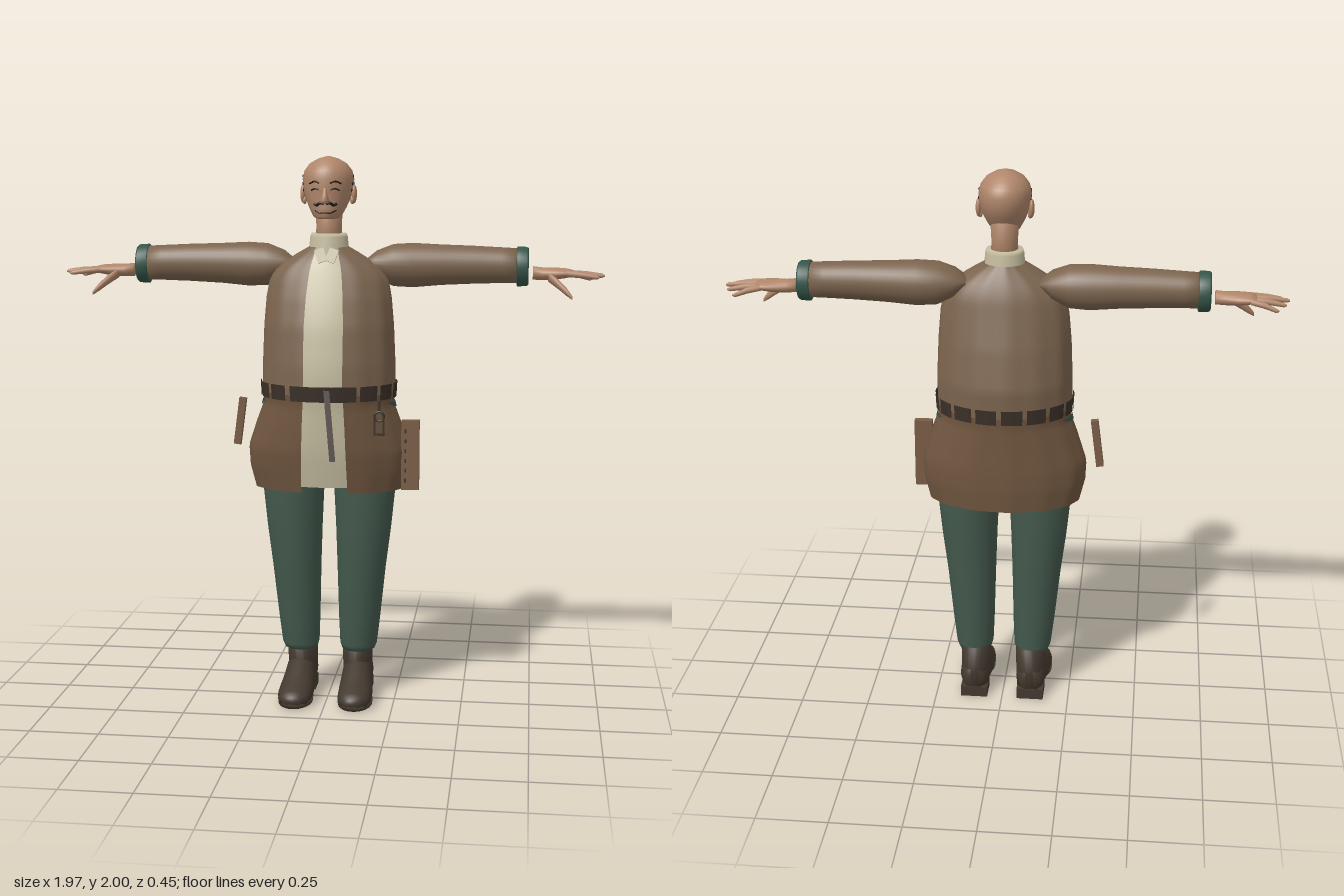
import * as THREE from 'three';

const mat = (name, color, side = THREE.FrontSide) => {
  const m = new THREE.MeshStandardMaterial({ color, side });
  m.name = name;
  return m;
};

// Surface through rows of points; wrap joins the last column to the first
function grid(rows, cols, fn, wrap = false) {
  const pos = [], idx = [];
  for (let i = 0; i < rows; i++) for (let j = 0; j < cols; j++) pos.push(...fn(i, j));
  for (let i = 0; i < rows - 1; i++) for (let j = 0; j < (wrap ? cols : cols - 1); j++) {
    const a = i * cols + j, b = i * cols + (j + 1) % cols;
    idx.push(a, b, b + cols, a, b + cols, a + cols);
  }
  const g = new THREE.BufferGeometry();
  g.setAttribute('position', new THREE.Float32BufferAttribute(pos, 3));
  g.setIndex(idx);
  g.computeVertexNormals();
  return g;
}

// Elliptical loft along an axis. Sections: [position, c1, c2, r1, r2],
// where 1 and 2 are x,z for axis y; y,z for axis x; x,y for axis z.
function loft(axis, secs, n = 24, minY = -1) {
  const first = [...secs[0]], last = [...secs[secs.length - 1]];
  first[3] = first[4] = last[3] = last[4] = 0;
  const all = [first, ...secs, last];
  return grid(all.length, n, (i, j) => {
    const [p, c1, c2, r1, r2] = all[i], t = j / n * Math.PI * 2;
    const s = Math.sin(t), c = Math.cos(t);
    if (axis === 'y') return [c1 + r1 * s, p, c2 + r2 * c];
    if (axis === 'x') return [p, c1 + r1 * c, c2 + r2 * s];
    return [c1 + r1 * c, Math.max(minY, c2 + r2 * s), p];
  }, true);
}

// Linear lookup in rows keyed by their first number
function lookup(keys, y) {
  let i = 0;
  while (i < keys.length - 2 && y > keys[i + 1][0]) i++;
  const a = keys[i], b = keys[i + 1];
  const k = THREE.MathUtils.clamp((y - a[0]) / (b[0] - a[0]), 0, 1);
  return a.map((v, n) => v + (b[n] - v) * k);
}

function mirrorX(g) {
  const m = g.clone().scale(-1, 1, 1), ix = m.index.array;
  for (let i = 0; i < ix.length; i += 3) [ix[i], ix[i + 1]] = [ix[i + 1], ix[i]];
  m.computeVertexNormals();
  return m;
}

// Coat profile: y, half width, front z, back z, half opening
const COAT = [
  [0.80, 0.275, 0.11, -0.21, 0.085], [0.88, 0.295, 0.125, -0.217, 0.082],
  [0.95, 0.298, 0.138, -0.218, 0.08], [1.04, 0.268, 0.145, -0.216, 0.077],
  [1.12, 0.238, 0.15, -0.215, 0.073], [1.17, 0.243, 0.16, -0.221, 0.07],
  [1.26, 0.243, 0.157, -0.225, 0.07], [1.40, 0.237, 0.138, -0.198, 0.07],
  [1.50, 0.228, 0.11, -0.172, 0.066], [1.57, 0.215, 0.085, -0.155, 0.06],
  [1.61, 0.185, 0.07, -0.14, 0.055], [1.65, 0.125, 0.052, -0.12, 0.045],
  [1.68, 0.072, 0.035, -0.102, 0.04],
];
function coatPoint(y, t, off = 0, ripple = 0) {
  const [, rx, zf, zb] = lookup(COAT, y);
  const r = 1 + ripple * Math.sin(t * 14);
  return [(rx + off) * r * Math.sin(t), y, (zf + zb) / 2 + ((zf - zb) / 2 + off) * r * Math.cos(t)];
}
const opening = y => { const k = lookup(COAT, y); return Math.asin(k[4] / k[1]); };

// Head sections: y, x, z, half width, half depth
const HEAD = [
  [1.782, 0, 0.02, 0.038, 0.05], [1.79, 0, 0.014, 0.05, 0.073], [1.82, 0, 0, 0.066, 0.087],
  [1.85, 0, -0.01, 0.079, 0.095], [1.88, 0, -0.016, 0.087, 0.105], [1.92, 0, -0.018, 0.092, 0.108],
  [1.95, 0, -0.017, 0.085, 0.099], [1.975, 0, -0.015, 0.066, 0.077], [1.992, 0, -0.014, 0.036, 0.044],
  [2.0, 0, -0.014, 0.008, 0.01],
];
const facePoint = (x, y, off = 0) => {
  const [, , cz, rx, rz] = lookup(HEAD, y);
  return new THREE.Vector3(x, y, cz + rz * Math.sqrt(Math.max(0, 1 - (x / rx) ** 2)) + off);
};

export function createModel() {
  const model = new THREE.Group();
  const DS = THREE.DoubleSide;
  const coat = mat('coat brown', 0x7b644e, DS), skirt = mat('skirt brown', 0x70563f, DS);
  const cream = mat('cream shirt', 0xc4bc9f, DS), green = mat('trouser green', 0x43594d);
  const teal = mat('cuff green', 0x35554a, DS), skin = mat('skin', 0xb0866a);
  const shoe = mat('shoe leather', 0x43392f), strap = mat('belt leather', 0x3a3028, DS);
  const wood = mat('wood', 0x7a5c46), black = mat('black', 0x1b1715);
  const add = (name, g, m, both = false) => {
    for (const geo of both ? [g, mirrorX(g)] : [g]) {
      const mesh = new THREE.Mesh(geo, m);
      mesh.name = name;
      model.add(mesh);
    }
  };
  const box = (w, h, d, x, y, z, rz = 0, rx = 0) =>
    new THREE.BoxGeometry(w, h, d).rotateZ(rz).rotateX(rx).translate(x, y, z);
  const ball = (x, y, z, a, b, c) => new THREE.SphereGeometry(1, 16, 12).scale(a, b, c).translate(x, y, z);

  // Coat, open down the front, in an upper half and a skirt
  const shell = (y0, y1, rows) => grid(rows, 81, (i, j) => {
    const y = y0 + (y1 - y0) * i / (rows - 1), o = opening(y);
    return coatPoint(y, o + (Math.PI * 2 - 2 * o) * j / 80, 0, 0.008);
  });
  add('coatBody', shell(1.16, 1.68, 27), coat);
  add('coatSkirt', shell(0.8, 1.16, 19), skirt);
  add('shirtFront', grid(24, 13, (i, j) => {
    const y = 0.82 + 0.86 * i / 23;
    return coatPoint(y, (opening(y) + 0.2) * (j / 6 - 1), -0.012);
  }), cream);
  add('collar', loft('y', [[1.63, 0, -0.033, 0.078, 0.075], [1.66, 0, -0.033, 0.073, 0.07],
    [1.715, 0, -0.033, 0.068, 0.066], [1.728, 0, -0.033, 0.064, 0.062]], 32), cream);
  add('collarFlap', box(0.035, 0.05, 0.006, 0.02, 1.652, 0.045, -0.35, -0.3), cream, true);

  // Belt threaded around the coat, with a hanging end
  const beltStrip = (a, b) => grid(2, 9, (i, j) => coatPoint(1.14 + 0.055 * i, a + (b - a) * j / 8, 0.007));
  add('beltFront', beltStrip(-0.5, 0.5), strap);
  const count = 14, step = (Math.PI * 2 - 1.08) / count;
  for (let k = 0; k < count; k++) add('beltSegment', beltStrip(0.56 + k * step, 0.56 + (k + 0.82) * step), strap);
  add('beltEnd', grid(5, 2, (i, j) => {
    const k = 1 - i / 4;
    return [0.005 + 0.028 * k + 0.021 * j, 1.185 - 0.245 * k, 0.172 + 0.05 * k];
  }), strap);
  // Trouser waist showing under the belt
  add('waistPatch', grid(2, 9, (i, j) => {
    const t = 1.15 + 0.9 * j / 8;
    return coatPoint(1.125 - 0.022 * (1 - i) * Math.sin(Math.PI * j / 8), t, 0.004);
  }), teal, true);

  // Sleeves and cuffs
  add('sleeve', loft('x', [[0.13, 1.62, -0.07, 0.012, 0.045], [0.17, 1.615, -0.073, 0.05, 0.065],
    [0.23, 1.612, -0.08, 0.076, 0.078], [0.3, 1.612, -0.085, 0.08, 0.079], [0.4, 1.614, -0.088, 0.073, 0.071],
    [0.52, 1.615, -0.089, 0.068, 0.065], [0.62, 1.614, -0.09, 0.064, 0.061], [0.68, 1.613, -0.09, 0.062, 0.06]], 32), coat, true);
  add('cuff', loft('x', [[0.672, 1.61, -0.091, 0.066, 0.062], [0.675, 1.61, -0.091, 0.072, 0.068],
    [0.708, 1.61, -0.091, 0.07, 0.068], [0.715, 1.61, -0.091, 0.065, 0.063]], 32), teal, true);

  // Hands: palm, four spread fingers and a lowered thumb
  add('palm', loft('x', [[0.73, 1.588, -0.082, 0.024, 0.03], [0.765, 1.585, -0.082, 0.023, 0.033],
    [0.81, 1.586, -0.083, 0.022, 0.045], [0.85, 1.588, -0.085, 0.017, 0.048],
    [0.87, 1.588, -0.086, 0.012, 0.044]], 20), skin, true);
  [[0.945, -0.123, -0.145], [0.972, -0.099, -0.11], [0.985, -0.075, -0.075], [0.965, -0.051, -0.042]].forEach(([tip, z0, z1], k) => {
    const drop = [0.018, 0.008, 0.002, 0.006][k];
    add('finger', loft('x', [[0.85, 1.588, z0, 0.012, 0.013],
      [(0.85 + tip) / 2, 1.587 - drop / 2, (z0 + z1) / 2, 0.011, 0.011],
      [tip - 0.01, 1.583 - drop, z1, 0.008, 0.008], [tip, 1.582 - drop, z1, 0.003, 0.003]], 10), skin, true);
  });
  add('thumb', loft('x', [[0.785, 1.578, -0.06, 0.019, 0.02], [0.82, 1.552, -0.036, 0.017, 0.016],
    [0.85, 1.526, -0.018, 0.014, 0.012], [0.87, 1.506, -0.006, 0.007, 0.006]], 10), skin, true);

  // Trousers
  add('trouserLeg', loft('y', [[0.18, 0.108, -0.064, 0.062, 0.072], [0.2, 0.109, -0.063, 0.069, 0.078],
    [0.3, 0.113, -0.058, 0.077, 0.084], [0.5, 0.121, -0.049, 0.09, 0.1], [0.65, 0.128, -0.047, 0.102, 0.108],
    [0.8, 0.132, -0.045, 0.113, 0.115], [1.0, 0.128, -0.042, 0.11, 0.118], [1.1, 0.12, -0.042, 0.09, 0.1]], 32), green, true);

  // Shoes: ankle, foot, heel and sole
  add('shoeAnkle', loft('y', [[0.03, 0.104, -0.1, 0.05, 0.054], [0.1, 0.104, -0.085, 0.055, 0.07],
    [0.2, 0.104, -0.077, 0.057, 0.075]], 24), shoe, true);
  add('shoeFoot', loft('z', [[-0.152, 0.106, 0.07, 0.035, 0.045], [-0.12, 0.106, 0.08, 0.054, 0.065],
    [-0.05, 0.107, 0.07, 0.058, 0.083], [0, 0.108, 0.05, 0.06, 0.082], [0.05, 0.11, 0.04, 0.063, 0.064],
    [0.1, 0.111, 0.033, 0.063, 0.047], [0.145, 0.111, 0.03, 0.053, 0.034], [0.17, 0.111, 0.028, 0.026, 0.018]], 24, 0.014), shoe, true);
  add('shoeHeel', box(0.1, 0.04, 0.09, 0.106, 0.02, -0.112), shoe, true);
  add('shoeSole', loft('y', [[0.004, 0.111, 0.075, 0.063, 0.098], [0.02, 0.111, 0.075, 0.065, 0.101]], 28), shoe, true);

  // Head
  add('neck', loft('y', [[1.68, 0, -0.033, 0.05, 0.05], [1.75, 0, -0.035, 0.046, 0.049], [1.84, 0, -0.04, 0.05, 0.055]]), skin);
  add('head', loft('y', HEAD, 40), skin);
  add('nose', loft('y', [[1.836, 0, 0.09, 0.011, 0.012], [1.846, 0, 0.092, 0.016, 0.02],
    [1.865, 0, 0.087, 0.01, 0.015], [1.89, 0, 0.083, 0.007, 0.01]], 14), skin);
  add('ear', ball(0.092, 1.868, -0.022, 0.01, 0.033, 0.019), skin, true);
  add('earLobe', ball(0.086, 1.845, -0.016, 0.008, 0.014, 0.011), skin, true);

  // Painted face lines
  const line = (pts, r) => new THREE.TubeGeometry(
    new THREE.CatmullRomCurve3(pts.map(([x, y]) => facePoint(x, y, 0.001))), 12, r, 6);
  add('eyebrow', line([[0.018, 1.906], [0.036, 1.913], [0.056, 1.905]], 0.003), black, true);
  add('eye', line([[0.02, 1.884], [0.034, 1.888], [0.05, 1.882]], 0.0025), black, true);
  add('moustache', line([[0.003, 1.836], [0.018, 1.838], [0.03, 1.83], [0.04, 1.835]], 0.005), black, true);
  add('mouth', line([[-0.038, 1.812], [-0.02, 1.803], [0, 1.802], [0.02, 1.803], [0.038, 1.812]], 0.0025), black);
  for (const [y, z] of [[1.93, -0.012], [1.905, 0.006], [1.905, -0.032], [1.882, 0.004]]) {
    const [, , cz, rx, rz] = lookup(HEAD, y);
    add('templeSpot', ball(rx * Math.sqrt(1 - ((z - cz) / rz) ** 2), y, z, 0.003, 0.006, 0.006), black, true);
  }

  // Things carried at the hips
  add('hipBoard', box(0.065, 0.255, 0.028, 0.303, 0.932, 0.012), wood);
  for (let k = 0; k < 6; k++) add('boardStitch', box(0.006, 0.014, 0.004, 0.286, 0.84 + k * 0.036, 0.027), strap);
  add('hipStick', box(0.026, 0.175, 0.026, -0.338, 1.03, -0.08, -0.13), wood);
  add('toolRing', new THREE.TorusGeometry(0.017, 0.004, 6, 16).translate(0.2, 1.09, 0.132), strap);
  add('toolLoop', box(0.012, 0.04, 0.006, 0.2, 1.125, 0.125), strap);
  for (const x of [0.184, 0.216]) add('toolArm', box(0.007, 0.06, 0.006, x, 1.052, 0.132), strap);
  add('toolFoot', box(0.04, 0.007, 0.006, 0.2, 1.025, 0.132), strap);
  return model;
}
